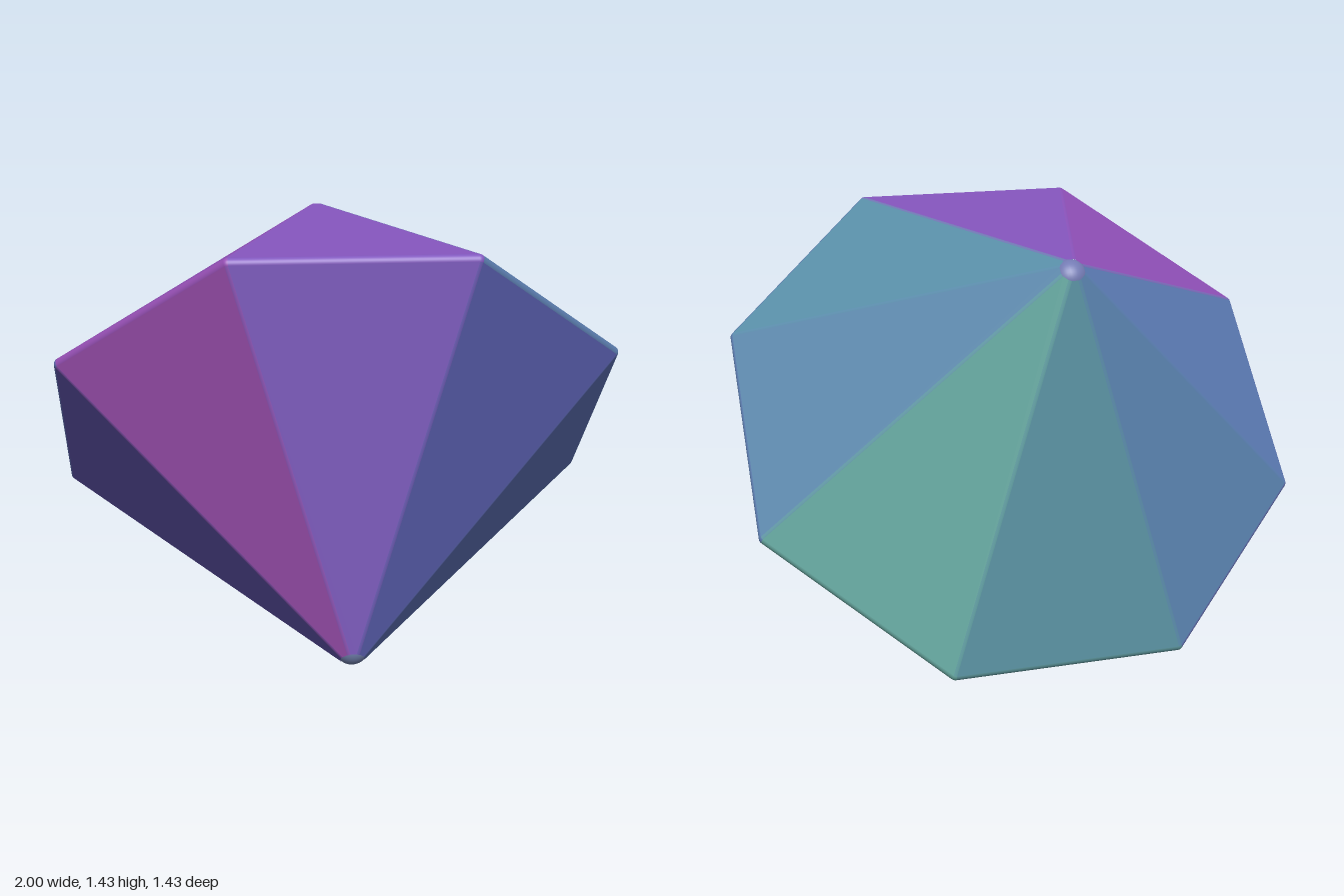
import * as THREE from 'three';

const D = 0.713;               // distance from the centre to every face
const A = D * Math.SQRT2;      // octagon apothem, also the height of each tip
const R = 0.022;               // edge rounding
const TIP_R = 0.06;            // larger rounding of the two tips
const TIP_CUT = 0.026;         // share of each face taken up by the rounded tip
const INNER = 1 - R / D;       // shrunken core that the rounding is wrapped around

// Face colours counter-clockwise around the axis, starting at +x
const FRONT = [0x5c70b4, 0x5a5fae, 0x7c5abc, 0x9c4fb0, 0x5d52a8, 0x6a55b2, 0x5c958f, 0x639f98];
const BACK = [0x628fb4, 0x5b93ad, 0x8656bf, 0x9452bd, 0x5f80bc, 0x5c87b4, 0x5c95a6, 0x66aaa2];

const material = (color) => new THREE.MeshStandardMaterial({ color });
const blend = (a, b) => new THREE.Color(a).lerp(new THREE.Color(b), 0.5);

function addMesh(parent, name, geometry, color) {
  const mesh = new THREE.Mesh(geometry, material(color));
  mesh.name = name;
  parent.add(mesh);
  return mesh;
}

// Flat face with its narrow end at the tip, pushed out from the core by R
function faceGeometry(tip, v0, v1) {
  const normal = new THREE.Triangle(tip, v0, v1).getNormal(new THREE.Vector3());
  const t0 = tip.clone().lerp(v0, TIP_CUT);
  const t1 = tip.clone().lerp(v1, TIP_CUT);
  const corners = [t0, v0, v1, t0, v1, t1].map((p) => p.clone().addScaledVector(normal, R));
  const geometry = new THREE.BufferGeometry().setFromPoints(corners);
  geometry.computeVertexNormals();
  return geometry;
}

// Rounded edge running between two points of the core
function addEdge(parent, name, a, b, color) {
  const span = b.clone().sub(a);
  const geometry = new THREE.CylinderGeometry(R, R, span.length(), 32, 1, true);
  const edge = addMesh(parent, name, geometry, color);
  edge.position.copy(a).addScaledVector(span, 0.5);
  edge.quaternion.setFromUnitVectors(new THREE.Vector3(0, 1, 0), span.normalize());
}

export function createModel() {
  const model = new THREE.Group();
  model.name = 'sixteenSidedDie';

  // Body is built around the z axis, then tilted to rest on one face
  const body = new THREE.Group();
  body.name = 'body';
  body.rotation.x = Math.PI / 4;
  body.position.y = 0.73;
  model.add(body);

  // Core octagon: corner k lies between faces k - 1 and k
  const radius = (A * INNER) / Math.cos(Math.PI / 8);
  const ring = Array.from({ length: 8 }, (_, k) => {
    const angle = ((k - 0.5) * Math.PI) / 4;
    return new THREE.Vector3(Math.cos(angle) * radius, Math.sin(angle) * radius, 0);
  });

  // Two pyramids joined at the octagon
  for (const [side, sign, colors] of [['front', 1, FRONT], ['back', -1, BACK]]) {
    const tip = new THREE.Vector3(0, 0, sign * A * INNER);
    for (let k = 0; k < 8; k++) {
      const v0 = ring[k];
      const v1 = ring[(k + 1) % 8];
      const geometry = sign > 0 ? faceGeometry(tip, v0, v1) : faceGeometry(tip, v1, v0);
      addMesh(body, side + 'Face', geometry, colors[k]);
      const edgeStart = tip.clone().lerp(v0, TIP_CUT);
      addEdge(body, side + 'SlopingEdge', edgeStart, v0, blend(colors[k], colors[(k + 7) % 8]));
    }
    // Rounded tip, tangent to all eight faces
    const ball = new THREE.SphereGeometry(TIP_R, 32, 24);
    const tipMesh = addMesh(body, side + 'Tip', ball, blend(colors[2], colors[6]));
    tipMesh.position.z = sign * A * (1 - TIP_R / D);
  }

  // Rounded edges and corners around the middle
  for (let k = 0; k < 8; k++) {
    const color = blend(FRONT[k], BACK[k]);
    addEdge(body, 'middleEdge', ring[k], ring[(k + 1) % 8], color);
    addMesh(body, 'corner', new THREE.SphereGeometry(R, 24, 16), color).position.copy(ring[k]);
  }

  return model;
}
